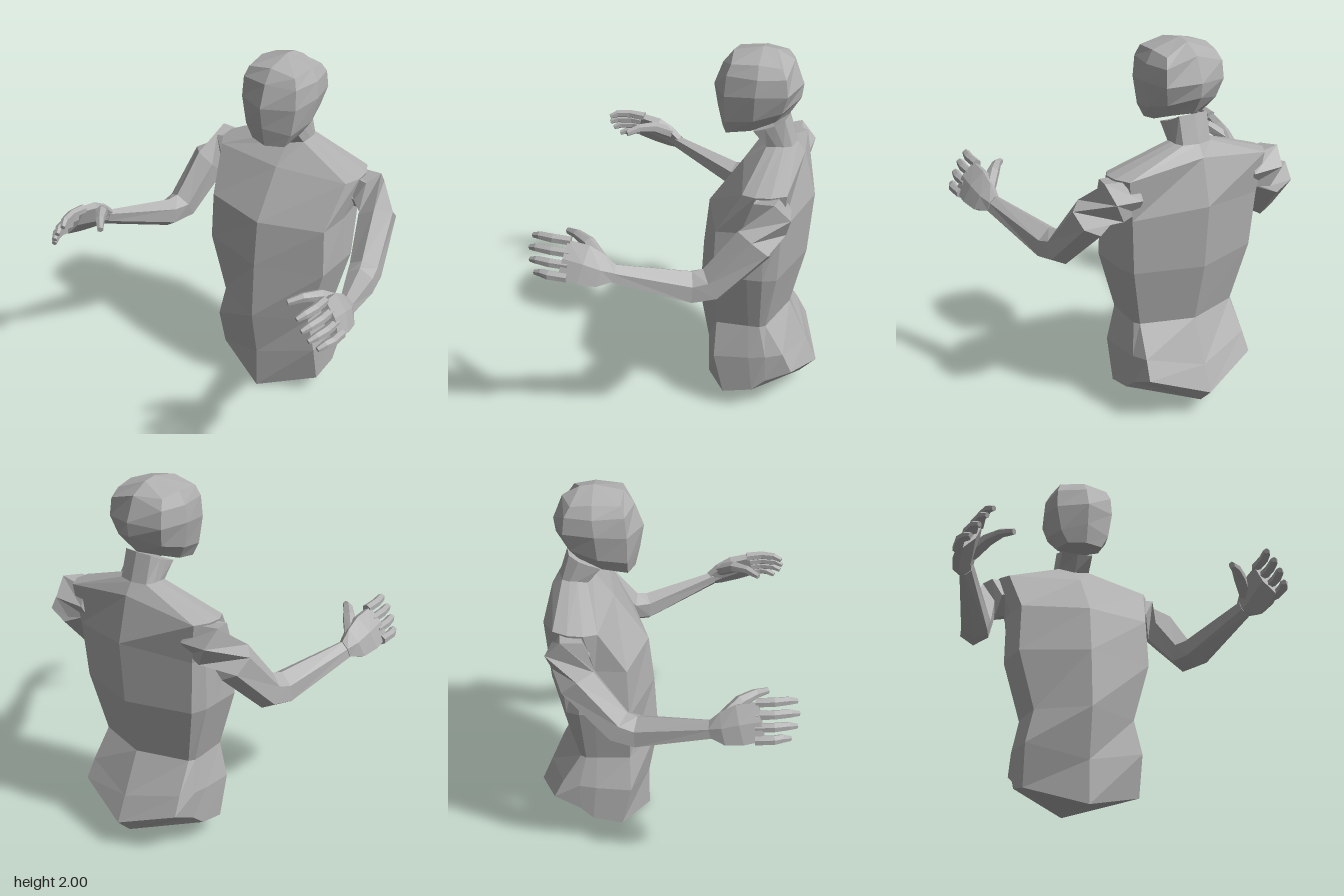
import * as THREE from 'three';

const V = (p) => new THREE.Vector3(...p);

// Flat-shaded skin over closed rings of points, with fan caps at both ends
function loft(rings, capA, capB) {
  const n = rings[0].length;
  const mid = (r) => r.reduce((s, p) => s.add(p), new THREE.Vector3()).divideScalar(n);
  const pts = [...rings.flat(), capA ?? mid(rings[0]), capB ?? mid(rings.at(-1))];
  const a = n * rings.length, last = n * (rings.length - 1);
  const faces = [];
  for (let j = 0; j < n; j++) {
    const k = (j + 1) % n;
    for (let i = 0; i < last; i += n) faces.push([i + j, i + k, i + n + k], [i + j, i + n + k, i + n + j]);
    faces.push([a, k, j], [a + 1, last + j, last + k]);
  }
  // Turn the faces outwards whichever way the rings run
  let volume = 0;
  for (const [p, q, r] of faces) volume += pts[p].dot(pts[q].clone().cross(pts[r]));
  if (volume < 0) faces.forEach((f) => f.reverse());
  const geometry = new THREE.BufferGeometry().setFromPoints(faces.flat().map((i) => pts[i]));
  geometry.computeVertexNormals();
  return geometry;
}

// Completes a half ring that runs from front centre to back centre
const mirrored = (half) => [
  ...half.map(V),
  ...half.slice(1, -1).reverse().map(([x, y, z]) => V([-x, y, z])),
];

// Limb along a path of [x, y, z, half width, half thickness]
const ACROSS = new THREE.Vector3(-0.5, 0.86, 0);
function limb(path, side, sides = 6) {
  const c = path.map(V3);
  const rings = path.map((p, i) => {
    const t0 = c[i].clone().sub(c[Math.max(i - 1, 0)]).normalize();
    const t1 = c[Math.min(i + 1, c.length - 1)].clone().sub(c[i]).normalize();
    const t = t0.add(t1).normalize();
    const w = ACROSS.clone().addScaledVector(t, -ACROSS.dot(t)).normalize();
    const u = t.clone().cross(w);
    return Array.from({ length: sides }, (_, k) => {
      const angle = ((k + 0.5) / sides) * Math.PI * 2;
      const q = c[i].clone()
        .addScaledVector(w, Math.cos(angle) * p[3])
        .addScaledVector(u, Math.sin(angle) * p[4]);
      q.x *= side;
      return q;
    });
  });
  return loft(rings);
}
const V3 = (p) => V(p.slice(0, 3));

export function createModel() {
  const model = new THREE.Group();
  model.name = 'mannequin';
  const grey = new THREE.MeshStandardMaterial({ color: 0xb0b0b0 });
  grey.name = 'grey';
  const add = (name, geometry, parent = model) => {
    const mesh = new THREE.Mesh(geometry, grey);
    mesh.name = name;
    parent.add(mesh);
  };

  // Torso from the hips to the base of the neck
  const neckBase = [[0, 1.47, -.36], [.09, 1.49, -.38], [.1, 1.5, -.43], [.1, 1.5, -.47], [.08, 1.5, -.51], [0, 1.5, -.53]];
  add('torso', loft([
    [[0, 0, -.07], [.32, .1, -.21], [.33, .14, -.37], [.32, .2, -.44], [.31, .27, -.58], [0, .16, -.68]],
    [[0, .24, -.07], [.325, .33, -.16], [.335, .35, -.35], [.33, .36, -.44], [.3, .37, -.53], [0, .3, -.62]],
    [[0, .52, -.02], [.28, .52, -.165], [.3, .53, -.34], [.3, .53, -.4], [.28, .53, -.43], [0, .53, -.52]],
    [[0, .85, -.04], [.37, .85, -.16], [.39, .87, -.34], [.39, .87, -.42], [.35, .86, -.49], [0, .86, -.6]],
    [[0, 1.11, -.07], [.36, 1.12, -.17], [.385, 1.14, -.33], [.385, 1.16, -.42], [.37, 1.16, -.51], [0, 1.2, -.63]],
    [[0, 1.37, -.25], [.4, 1.365, -.31], [.44, 1.375, -.38], [.44, 1.38, -.46], [.4, 1.38, -.535], [0, 1.44, -.57]],
    neckBase,
  ].map(mirrored), V([0, .07, -.59])));

  // Neck, running up into the head
  add('neck', loft([
    neckBase,
    [[0, 1.56, -.3], [.09, 1.57, -.31], [.095, 1.59, -.37], [.095, 1.61, -.42], [.08, 1.64, -.47], [0, 1.645, -.485]],
  ].map(mirrored)));

  // Head, from the jaw to the crown
  add('head', loft([
    [[0, 1.55, -.135], [.1, 1.555, -.17], [.12, 1.585, -.3], [.09, 1.63, -.42], [0, 1.645, -.48]],
    [[0, 1.66, -.11], [.14, 1.63, -.17], [.17, 1.66, -.32], [.14, 1.7, -.46], [0, 1.74, -.54]],
    [[0, 1.78, -.09], [.165, 1.78, -.17], [.2, 1.8, -.33], [.165, 1.8, -.49], [0, 1.815, -.55]],
    [[0, 1.9, -.135], [.16, 1.89, -.18], [.19, 1.89, -.34], [.16, 1.89, -.48], [0, 1.94, -.5]],
    [[0, 1.97, -.19], [.14, 1.945, -.2], [.155, 1.955, -.34], [.14, 1.94, -.45], [0, 1.99, -.41]],
  ].map(mirrored), undefined, V([0, 2, -.34])));

  for (const [name, side] of [['left', 1], ['right', -1]]) {
    const arm = new THREE.Group();
    arm.name = name + 'Arm';
    model.add(arm);

    // Upper arm and forearm in one bent limb
    add(name + 'UpperArmAndForearm', limb([
      [.34, 1.28, -.45, .1, .1],
      [.46, 1.275, -.46, .125, .115],
      [.55, 1.18, -.4, .11, .105],
      [.605, .96, -.2, .095, .085],
      [.63, .945, -.1, .09, .075],
      [.765, 1.06, .28, .05, .03],
    ], side), arm);

    // Palm
    add(name + 'Palm', limb([
      [.763, 1.06, .26, .05, .032],
      [.785, 1.08, .32, .095, .036],
      [.795, 1.11, .4, .115, .04],
      [.8, 1.135, .5, .108, .034],
    ], side), arm);

    // Four fingers from index to little finger, curling slightly inwards
    [.67, .68, .67, .64].forEach((tip, i) => {
      const x = .752 + i * .034, y = 1.21 - i * .05;
      add(name + 'Finger' + (i + 1), limb([
        [x, y, .47, .025, .027],
        [x + .005, y + .008, .56, .025, .024],
        [x - .01, y + .008, tip - .04, .022, .021],
        [x - .03, y - .005, tip, .014, .014],
      ], side), arm);
    });

    // Thumb
    add(name + 'Thumb', limb([
      [.755, 1.12, .32, .035, .035],
      [.69, 1.175, .4, .034, .034],
      [.635, 1.185, .475, .025, .025],
      [.585, 1.17, .535, .017, .017],
    ], side), arm);
  }
  return model;
}
